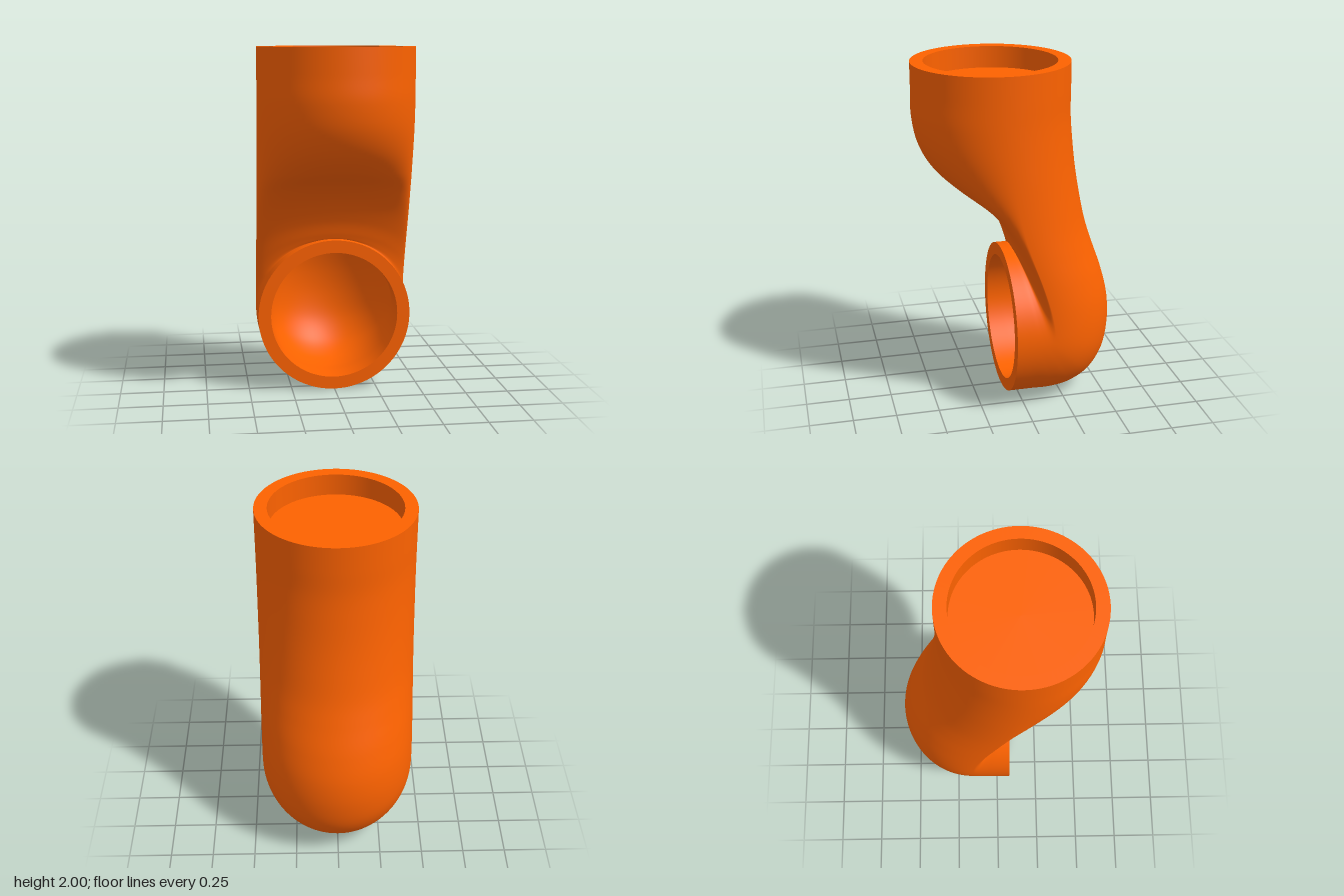
import * as THREE from 'three';

const R = 0.445, BORE = 0.372; // outer and bore radius
const SEG = 96, ROWS = 120;

// Cross-sections from top to front mouth, as [z, y] pairs:
// inner-bend point, widest point at the sides, outer-bend point
const SECTIONS = [
  [0.57, 2, 0.125, 2, -0.32, 2],
  [0.57, 1.85, 0.125, 1.85, -0.32, 1.85],
  [0.57, 1.7, 0.125, 1.7, -0.32, 1.7],
  [0.54, 1.55, 0.112, 1.545, -0.333, 1.54],
  [0.47, 1.42, 0.09, 1.4, -0.352, 1.38],
  [0.36, 1.315, 0.065, 1.25, -0.38, 1.22],
  [0.22, 1.225, 0.03, 1.1, -0.415, 1.06],
  [0.12, 1.125, -0.015, 0.96, -0.46, 0.92],
  [0.05, 1.0, -0.07, 0.81, -0.52, 0.75],
  [0.02, 0.915, -0.115, 0.67, -0.562, 0.58],
  [0.011, 0.89, -0.14, 0.56, -0.568, 0.41],
  [0.008, 0.886, -0.145, 0.49, -0.535, 0.245],
  [0.008, 0.886, -0.13, 0.455, -0.45, 0.11],
  [0.012, 0.888, -0.09, 0.445, -0.33, 0.03],
  [0.022, 0.89, -0.045, 0.445, -0.2, 0],
  [0.045, 0.89, 0.01, 0.445, -0.06, 0],
  [0.075, 0.89, 0.075, 0.445, 0.075, 0],
];

const curve = (k) => new THREE.CatmullRomCurve3(
  SECTIONS.map((s) => new THREE.Vector3(0, s[k + 1], s[k])), false, 'catmullrom', 0.5);

// Sweeps two half ellipses joined at the widest points; scale shrinks them for the bore
function loft(scale, inward) {
  const inner = curve(0), middle = curve(2), outer = curve(4), pos = [], idx = [];
  for (let i = 0; i <= ROWS; i++) {
    const c = middle.getPoint(i / ROWS);
    const front = inner.getPoint(i / ROWS).sub(c).multiplyScalar(scale);
    const back = outer.getPoint(i / ROWS).sub(c).multiplyScalar(scale);
    for (let j = 0; j < SEG; j++) {
      const a = (j / SEG) * Math.PI * 2, k = Math.cos(a);
      const p = c.clone().addScaledVector(k > 0 ? front : back, Math.abs(k));
      pos.push(Math.sin(a) * R * scale, p.y, p.z);
    }
  }
  for (let i = 0; i < ROWS; i++) {
    for (let j = 0; j < SEG; j++) {
      const n = (j + 1) % SEG;
      const a = i * SEG + j, b = a + SEG, c = i * SEG + n, d = c + SEG;
      if (inward) idx.push(a, c, b, c, d, b);
      else idx.push(a, b, c, c, b, d);
    }
  }
  const g = new THREE.BufferGeometry();
  g.setAttribute('position', new THREE.Float32BufferAttribute(pos, 3));
  g.setIndex(idx);
  g.computeVertexNormals();
  return g;
}

export function createModel() {
  const group = new THREE.Group();
  group.name = 'pipeElbow';
  const material = new THREE.MeshStandardMaterial({ color: 0xfd6200, side: THREE.DoubleSide });
  const add = (name, geometry) => {
    const mesh = new THREE.Mesh(geometry, material);
    mesh.name = name;
    group.add(mesh);
    return mesh;
  };

  // Curved pipe wall
  add('outerWall', loft(1, false));
  add('innerWall', loft(BORE / R, true));

  // Flat rims at both openings
  const topRim = add('topRim', new THREE.RingGeometry(BORE, R, SEG));
  topRim.rotation.x = -Math.PI / 2;
  topRim.position.set(0, 2, 0.125);
  add('frontRim', new THREE.RingGeometry(BORE, R, SEG)).position.set(0, R, 0.075);

  // Shallow floor closing the top socket
  const floor = add('socketFloor', new THREE.CircleGeometry(BORE, SEG));
  floor.rotation.x = -Math.PI / 2;
  floor.position.set(0, 1.875, 0.125);

  return group;
}
